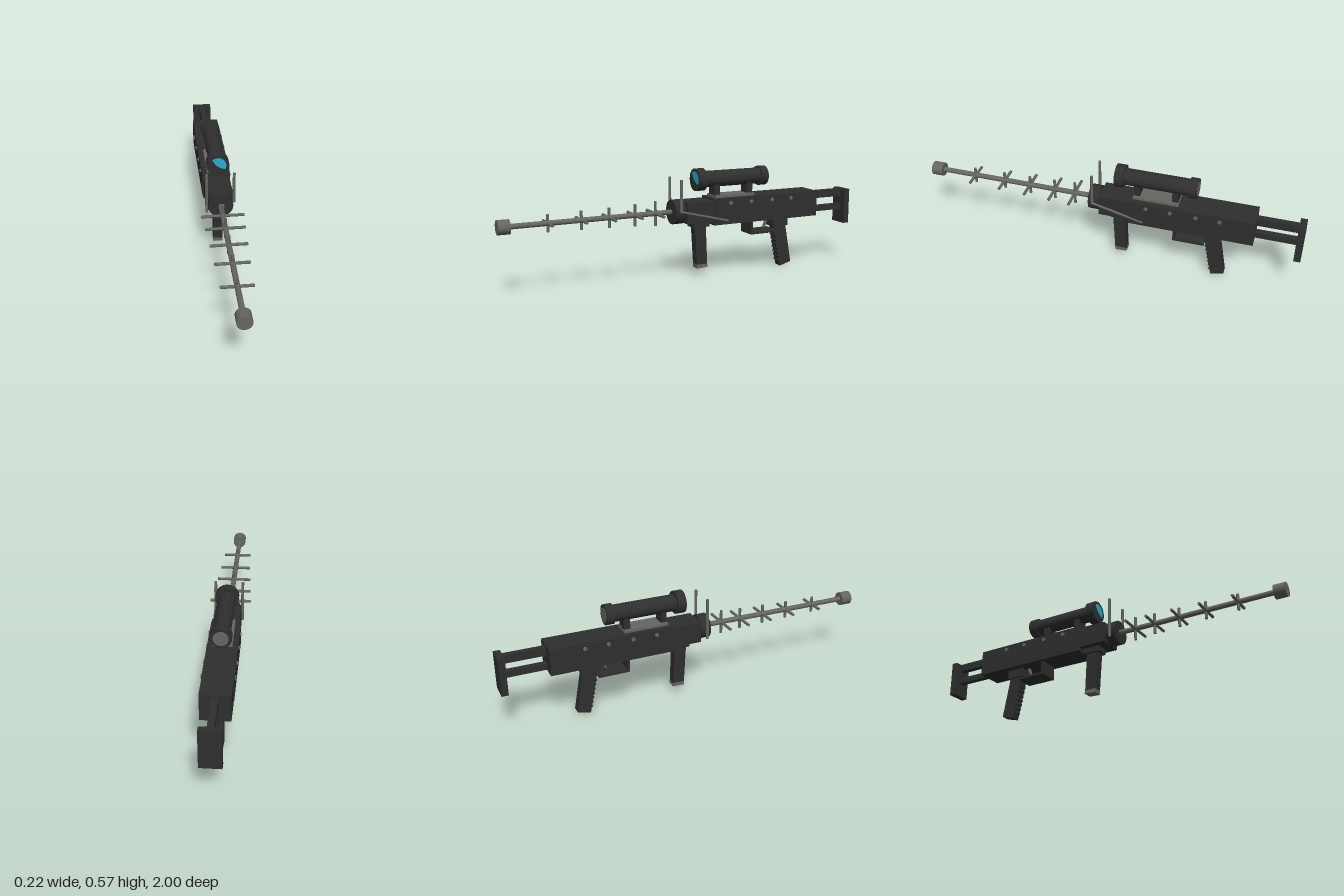
import * as THREE from 'three';

const mat = (name, color) => {
  const m = new THREE.MeshStandardMaterial({ color });
  m.name = name;
  return m;
};

export function createModel() {
  const dark = mat('charcoal', 0x2f2f2f);
  const grey = mat('metalGrey', 0x666661);
  const cyan = mat('lensCyan', 0x25aecf);
  const group = new THREE.Group();
  group.name = 'antennaRifle';

  const add = (name, geometry, material) => {
    const m = new THREE.Mesh(geometry, material);
    m.name = name;
    group.add(m);
    return m;
  };
  // Box from its half width and y / z ranges, centred on x
  const box = (name, halfW, y0, y1, z0, z1, material = dark) => {
    const m = add(name, new THREE.BoxGeometry(halfW * 2, y1 - y0, Math.abs(z1 - z0)), material);
    m.position.set(0, (y0 + y1) / 2, (z0 + z1) / 2);
    return m;
  };
  // Cylinder between two points
  const rod = (name, a, b, r, material = grey, sides = 16) => {
    const p = new THREE.Vector3(...a), q = new THREE.Vector3(...b);
    const m = add(name, new THREE.CylinderGeometry(r, r, p.distanceTo(q), sides), material);
    m.position.copy(p).add(q).multiplyScalar(0.5);
    m.quaternion.setFromUnitVectors(new THREE.Vector3(0, 1, 0), q.sub(p).normalize());
    return m;
  };
  // Side outline of [z, y] points, extruded across x
  const sidePlate = (name, points, halfW, material = dark) => {
    const shape = new THREE.Shape(points.map(([z, y]) => new THREE.Vector2(-z, y)));
    const g = new THREE.ExtrudeGeometry(shape, { depth: halfW * 2, bevelEnabled: false });
    g.translate(0, 0, -halfW);
    g.rotateY(Math.PI / 2);
    return add(name, g, material);
  };

  const axisY = 0.356;

  // Receiver
  box('mainBody', 0.072, 0.278, 0.417, -0.76, -0.115);
  box('frontBody', 0.067, 0.297, 0.407, -0.116, 0.04);
  for (const s of [-1, 1]) {
    const plate = box('sidePanel', 0.002, 0.295, 0.412, -0.63, -0.125);
    plate.position.x = s * 0.073;
    for (const z of [-0.21, -0.335, -0.465, -0.585])
      rod('bolt', [s * 0.07, 0.391, z], [s * 0.081, 0.391, z], 0.01);
  }

  // Muzzle collar
  rod('collarNeck', [0, axisY, 0.03], [0, axisY, 0.05], 0.05, dark, 32);
  rod('muzzleCollar', [0, axisY, 0.045], [0, axisY, 0.1], 0.064, dark, 32);

  // Antenna boom with shrinking cross elements
  rod('boom', [0, axisY, 0.08], [0, axisY, 0.96], 0.0135);
  rod('boomCap', [0, axisY, 0.94], [0, axisY, 1], 0.036, grey, 32);
  const crosses = [[0.19, 0.109, 0.064], [0.302, 0.1, 0.056], [0.441, 0.092, 0.051],
    [0.586, 0.084, 0.047], [0.755, 0.077, 0.043]];
  for (const [z, w, h] of crosses) {
    rod('crossElement', [-w, axisY, z], [w, axisY, z], 0.0075, grey, 12);
    rod('uprightElement', [0, axisY - h, z], [0, axisY + h, z], 0.0075, grey, 12);
  }

  // Whip rods beside the collar, one with a brace along the body
  rod('leftWhip', [0.07, 0.36, 0.075], [0.07, 0.53, 0.075], 0.0075, grey, 12);
  rod('rightWhip', [-0.07, 0.31, 0.075], [-0.07, 0.53, 0.075], 0.0075, grey, 12);
  rod('whipBrace', [0.073, 0.365, 0.078], [0.073, 0.298, -0.195], 0.006, grey, 12);

  // Scope
  const sy = 0.515;
  box('scopeRail', 0.048, 0.416, 0.43, -0.37, -0.135, grey);
  box('frontScopeMount', 0.032, 0.429, 0.495, -0.168, -0.137);
  box('rearScopeMount', 0.032, 0.429, 0.495, -0.366, -0.333);
  rod('scopeTube', [0, sy, -0.42], [0, sy, -0.07], 0.043, dark, 32);
  rod('frontScopeRing', [0, sy, -0.083], [0, sy, -0.036], 0.059, dark, 32);
  rod('rearScopeRing', [0, sy, -0.457], [0, sy, -0.415], 0.052, dark, 32);
  rod('eyepiece', [0, sy, -0.46], [0, sy, -0.45], 0.037, grey, 32);
  const glint = new THREE.Shape();
  glint.absarc(0, 0, 0.043, -0.56, 2.27, false);
  glint.quadraticCurveTo(-0.014, -0.009, 0.0364, -0.0228);
  add('lens', new THREE.ExtrudeGeometry(glint, { depth: 0.004, bevelEnabled: false, curveSegments: 24 }), cyan)
    .position.set(0, sy, -0.038);

  // Front grip
  box('frontGripBase', 0.034, 0.267, 0.3, -0.105, -0.01);
  sidePlate('frontGrip', [[-0.025, 0.27], [-0.09, 0.27], [-0.099, 0.063], [-0.038, 0.063]], 0.0235);
  sidePlate('frontGripFoot', [[-0.037, 0.064], [-0.1, 0.064], [-0.101, 0.046], [-0.039, 0.043]], 0.0245, grey);

  // Rear grip with finger ridges
  box('rearGripBase', 0.034, 0.23, 0.28, -0.597, -0.5);
  sidePlate('rearGrip', [[-0.512, 0.232], [-0.588, 0.232], [-0.628, 0.018], [-0.56, 0]], 0.024);
  for (let i = 0; i < 7; i++) {
    const y = 0.03 + i * 0.024;
    const ridge = box('gripRidge', 0.0235, y, y + 0.011, -0.006, 0.006);
    ridge.position.z = -0.56 + 0.048 * (y / 0.232);
    ridge.rotation.x = -0.2;
  }

  // Trigger and guard
  box('guardFront', 0.053, 0.205, 0.28, -0.362, -0.35);
  box('guardBottom', 0.053, 0.203, 0.215, -0.515, -0.35);
  sidePlate('trigger', [[-0.474, 0.28], [-0.486, 0.28], [-0.467, 0.228], [-0.458, 0.228]], 0.008, grey);

  // Stock
  box('upperStockBar', 0.016, 0.364, 0.406, -0.97, -0.75);
  box('lowerStockBar', 0.016, 0.288, 0.32, -0.97, -0.75);
  box('buttPlate', 0.052, 0.212, 0.407, -1, -0.966);

  return group;
}
